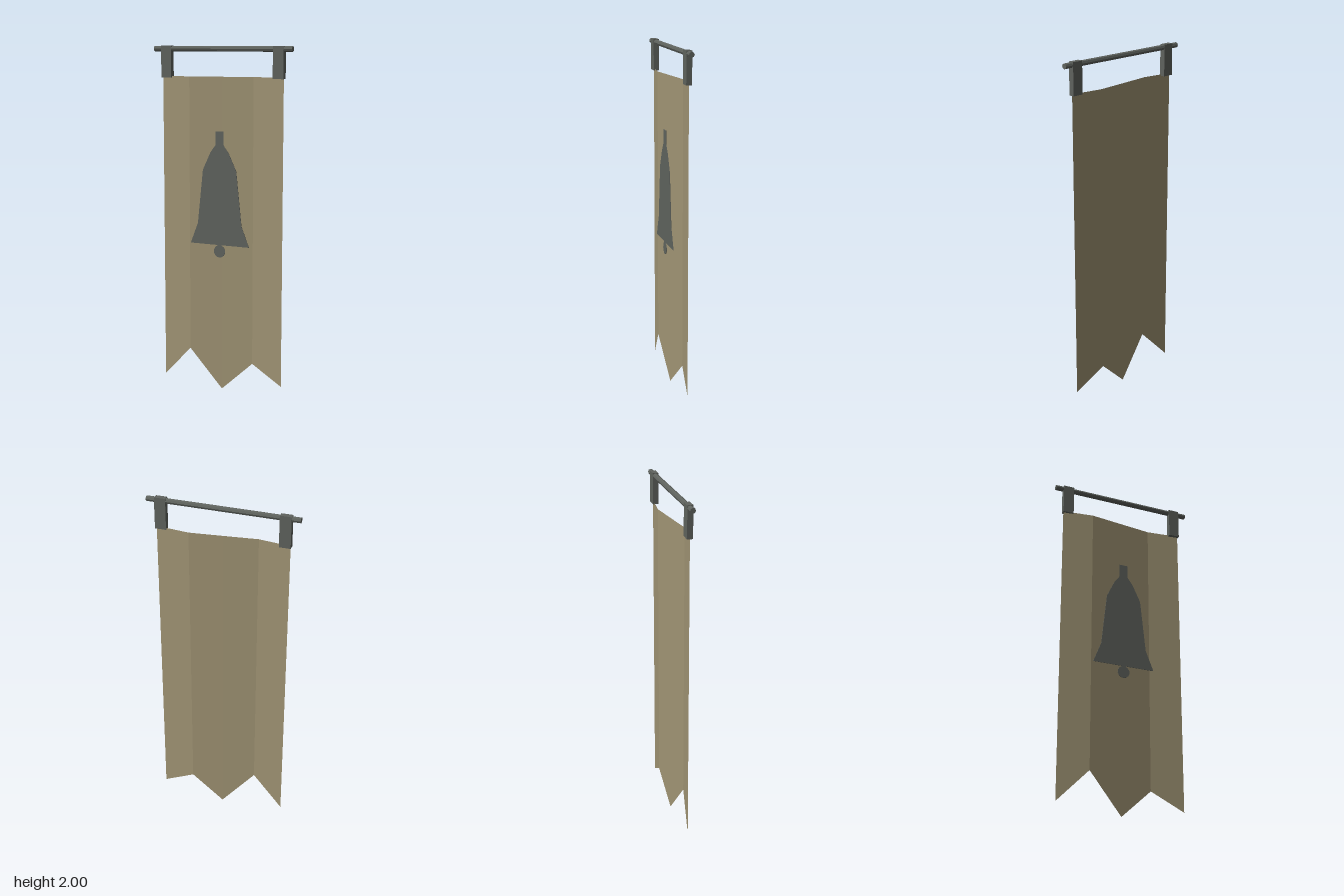
import * as THREE from 'three';

export function createModel() {
  const banner = new THREE.Group();
  banner.name = 'banner';

  const cloth = new THREE.MeshStandardMaterial({ color: 0xa09474, side: THREE.DoubleSide, flatShading: true });
  cloth.name = 'tan cloth';
  const metal = new THREE.MeshStandardMaterial({ color: 0x5f635e, flatShading: true });
  metal.name = 'grey metal';

  const add = (name, geometry, material, x = 0, y = 0, z = 0) => {
    const mesh = new THREE.Mesh(geometry, material);
    mesh.name = name;
    mesh.position.set(x, y, z);
    banner.add(mesh);
    return mesh;
  };

  // Folded cloth with a ragged hem: each column is [x, z, hem height]
  const columns = [
    [-0.376, -0.006, 0.045],
    [-0.195, 0.018, 0.23],
    [0, -0.006, 0],
    [0.185, -0.028, 0.17],
    [0.376, -0.006, 0.065],
  ];
  const clothTop = 1.828;
  const points = [];
  for (let i = 0; i < columns.length - 1; i++) {
    const [x0, z0, y0] = columns[i];
    const [x1, z1, y1] = columns[i + 1];
    points.push(x0, y0, z0, x1, y1, z1, x1, clothTop, z1);
    points.push(x0, y0, z0, x1, clothTop, z1, x0, clothTop, z0);
  }
  const clothGeometry = new THREE.BufferGeometry();
  clothGeometry.setAttribute('position', new THREE.Float32BufferAttribute(points, 3));
  clothGeometry.computeVertexNormals();
  add('cloth', clothGeometry, cloth);

  // Hanging rod
  const rod = add('rod', new THREE.CylinderGeometry(0.0155, 0.0155, 0.856, 8), metal, 0, 1.983, -0.006);
  rod.rotation.z = Math.PI / 2;

  // Straps joining the cloth to the rod
  for (const side of [-1, 1]) {
    add(side < 0 ? 'rightStrap' : 'leftStrap',
      new THREE.BoxGeometry(0.064, 0.18, 0.032), metal, side * 0.348, 1.91, -0.006);
  }

  // Bell emblem: half outline mirrored about x = 0
  const half = [[0.025, 1.523], [0.025, 1.445], [0.058, 1.4], [0.105, 1.3], [0.138, 0.99], [0.185, 0.87]];
  const outline = [
    ...half.map(([x, y]) => new THREE.Vector2(-x, y)),
    ...half.map(([x, y]) => new THREE.Vector2(x, y)).reverse(),
  ];
  const plate = { depth: 0.003, bevelEnabled: false };
  add('bellEmblem', new THREE.ExtrudeGeometry(new THREE.Shape(outline), plate), metal, 0, 0, 0.0245);

  // Clapper below the bell, cut flat where it meets the rim
  const clapper = new THREE.Shape();
  const start = Math.PI * 0.62;
  for (let i = 0; i <= 12; i++) {
    const a = start + (i / 12) * Math.PI * 1.76;
    const x = 0.036 * Math.cos(a), y = 0.833 + 0.036 * Math.sin(a);
    if (i === 0) clapper.moveTo(x, y);
    else clapper.lineTo(x, y);
  }
  clapper.lineTo(0.0133, 0.87);
  clapper.lineTo(-0.0133, 0.87);
  add('bellClapper', new THREE.ExtrudeGeometry(clapper, plate), metal, 0, 0, 0.0245);

  return banner;
}
